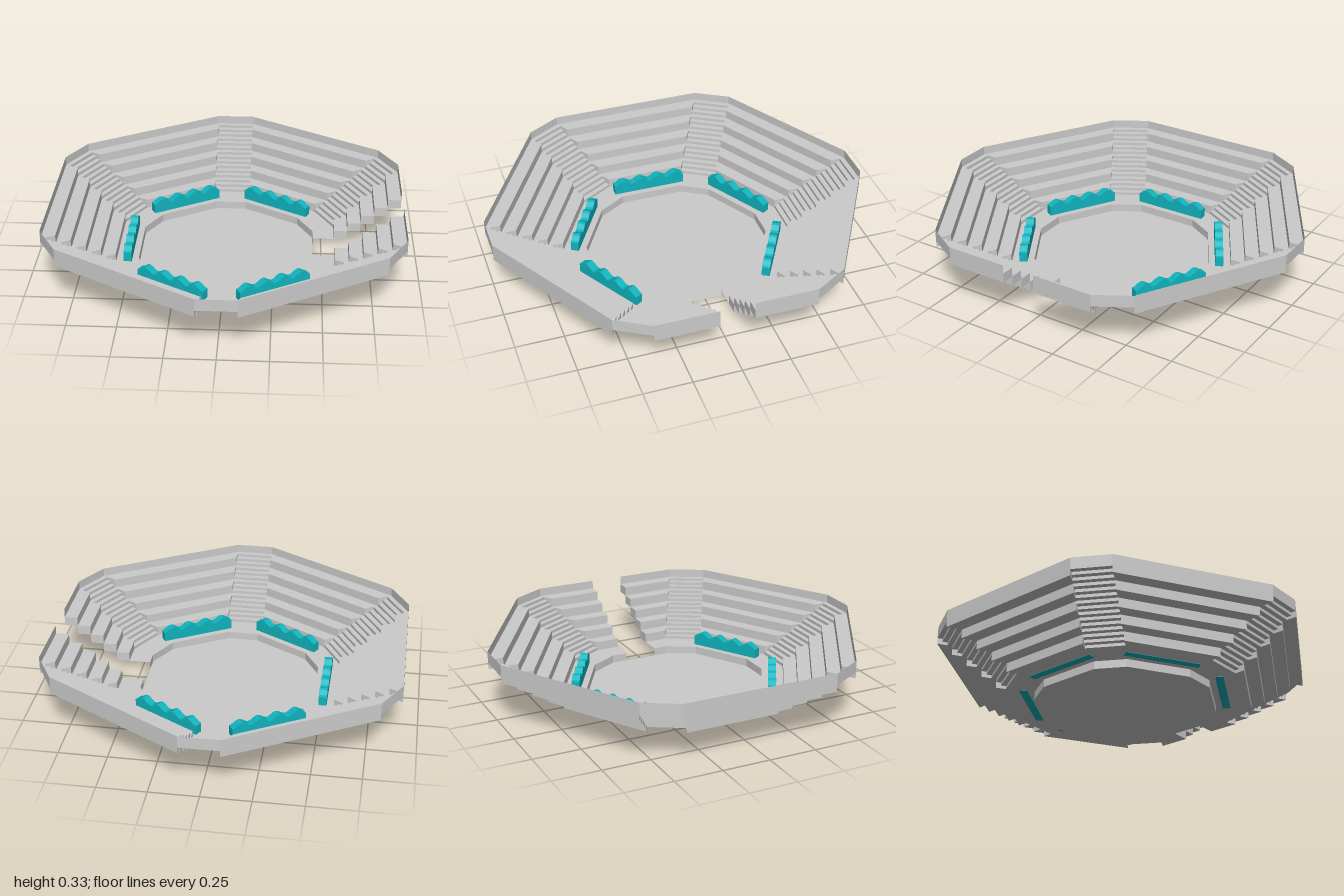
import * as THREE from 'three';

const grey = new THREE.MeshStandardMaterial({ color: 0xcccccc, flatShading: true, side: THREE.DoubleSide });
const teal = new THREE.MeshStandardMaterial({ color: 0x10b4be, flatShading: true });

const GAP = 0.088;      // half width of the entrance
const STAIR = 0.1;      // half width of a stair flight
const LEDGE = 0.042;    // height of the ledge round the pit
const TIERS = 5, R0 = 0.569, R1 = 0.915, TOP = 0.287, RIM = 0.333;
const STEPS = 15;

// distance of the cut corner, and half length of a long side, at apothem r
const cornerDist = (r, w) => r / Math.cos(Math.PI / 6) - w / Math.sqrt(3);
const halfSide = (r, w) => r * Math.tan(Math.PI / 6) - w / Math.cos(Math.PI / 6);

// hexagon with cut corners, open at the entrance on +x, as [x, z] points
function outline(r, w) {
  const pts = [[r, GAP]];
  const d = cornerDist(r, w);
  for (let k = 0; k < 6; k++) {
    const a = Math.PI / 6 + k * Math.PI / 3;
    for (const s of [-w, w]) {
      pts.push([d * Math.cos(a) - s * Math.sin(a), d * Math.sin(a) + s * Math.cos(a)]);
    }
  }
  pts.push([r, -GAP]);
  return pts;
}

// thin strip between two outlines
function strip(a, ya, b, yb) {
  const pos = [];
  for (let i = 0; i < a.length - 1; i++) {
    const p = [a[i][0], ya, a[i][1]], q = [a[i + 1][0], ya, a[i + 1][1]];
    const s = [b[i][0], yb, b[i][1]], t = [b[i + 1][0], yb, b[i + 1][1]];
    pos.push(...p, ...s, ...q, ...q, ...s, ...t);
  }
  const g = new THREE.BufferGeometry();
  g.setAttribute('position', new THREE.Float32BufferAttribute(pos, 3));
  g.computeVertexNormals();
  return g;
}

// flat plan drawn as [x, z], raised to height h
function prism(plan, h) {
  const shape = new THREE.Shape(plan.map(([x, z]) => new THREE.Vector2(x, -z)));
  return new THREE.ExtrudeGeometry(shape, { depth: h, bevelEnabled: false }).rotateX(-Math.PI / 2);
}

export function createModel() {
  const model = new THREE.Group();
  model.name = 'arena';
  const add = (name, geo, mat, parent = model) => {
    const mesh = new THREE.Mesh(geo, mat);
    mesh.name = name;
    parent.add(mesh);
    return mesh;
  };

  // sunken floor, pit wall and ledge
  const pit = outline(0.455, 0.083);
  const floorShape = new THREE.Shape(pit.map(([x, z]) => new THREE.Vector2(x, -z)));
  add('floor', new THREE.ShapeGeometry(floorShape).rotateX(-Math.PI / 2), grey);
  add('pitWall', strip(pit, 0, pit, LEDGE), grey);
  add('ledge', strip(pit, LEDGE, outline(R0, STAIR), LEDGE), grey);

  // rim wall
  const rim = outline(R1, STAIR);
  add('rimWall', strip(rim, TOP, rim, RIM), grey);

  const depth = (R1 - R0) / TIERS, rise = (TOP - LEDGE) / TIERS;
  for (let k = 0; k < 6; k++) {
    // seating on each long side; the entrance side is split in two
    const stand = new THREE.Group();
    stand.name = 'stand';
    stand.rotation.y = -k * Math.PI / 3;
    model.add(stand);
    for (let i = 0; i < TIERS; i++) {
      const a = R0 + i * depth, b = a + depth;
      const la = halfSide(a, STAIR), lb = halfSide(b, STAIR);
      const plans = k === 0
        ? [1, -1].map(s => [[a, s * GAP], [b, s * GAP], [b, s * lb], [a, s * la]])
        : [[[a, -la], [b, -lb], [b, lb], [a, la]]];
      for (const plan of plans) {
        add('seatTier', prism(plan, rise), grey, stand).position.y = LEDGE + i * rise;
      }
    }

    // stair flight at each corner
    const stairs = new THREE.Group();
    stairs.name = 'stairs';
    stairs.rotation.y = -(k + 0.5) * Math.PI / 3;
    model.add(stairs);
    const d0 = cornerDist(R0, STAIR);
    const run = (cornerDist(R1, STAIR) - d0) / STEPS, h = (TOP - LEDGE) / STEPS;
    const stepGeo = new THREE.BoxGeometry(run, h, 2 * STAIR);
    for (let i = 0; i < STEPS; i++) {
      add('step', stepGeo, grey, stairs).position.set(d0 + (i + 0.5) * run, LEDGE + (i + 0.5) * h, 0);
    }
  }

  // wavy-topped barriers on the ledge, one per side except the entrance
  const wave = new THREE.Shape();
  wave.moveTo(-0.2, 0);
  wave.lineTo(0.2, 0);
  for (let i = 0; i <= 32; i++) {
    const x = 0.2 - i * 0.0125;
    wave.lineTo(x, 0.065 - 0.012 * Math.cos(x * 20 * Math.PI));
  }
  const barrierGeo = new THREE.ExtrudeGeometry(wave, { depth: 0.042, bevelEnabled: false });
  barrierGeo.rotateY(Math.PI / 2).translate(0.488, LEDGE - 0.002, 0);
  for (let k = 1; k < 6; k++) {
    add('barrier', barrierGeo, teal).rotation.y = -k * Math.PI / 3;
  }
  return model;
}
